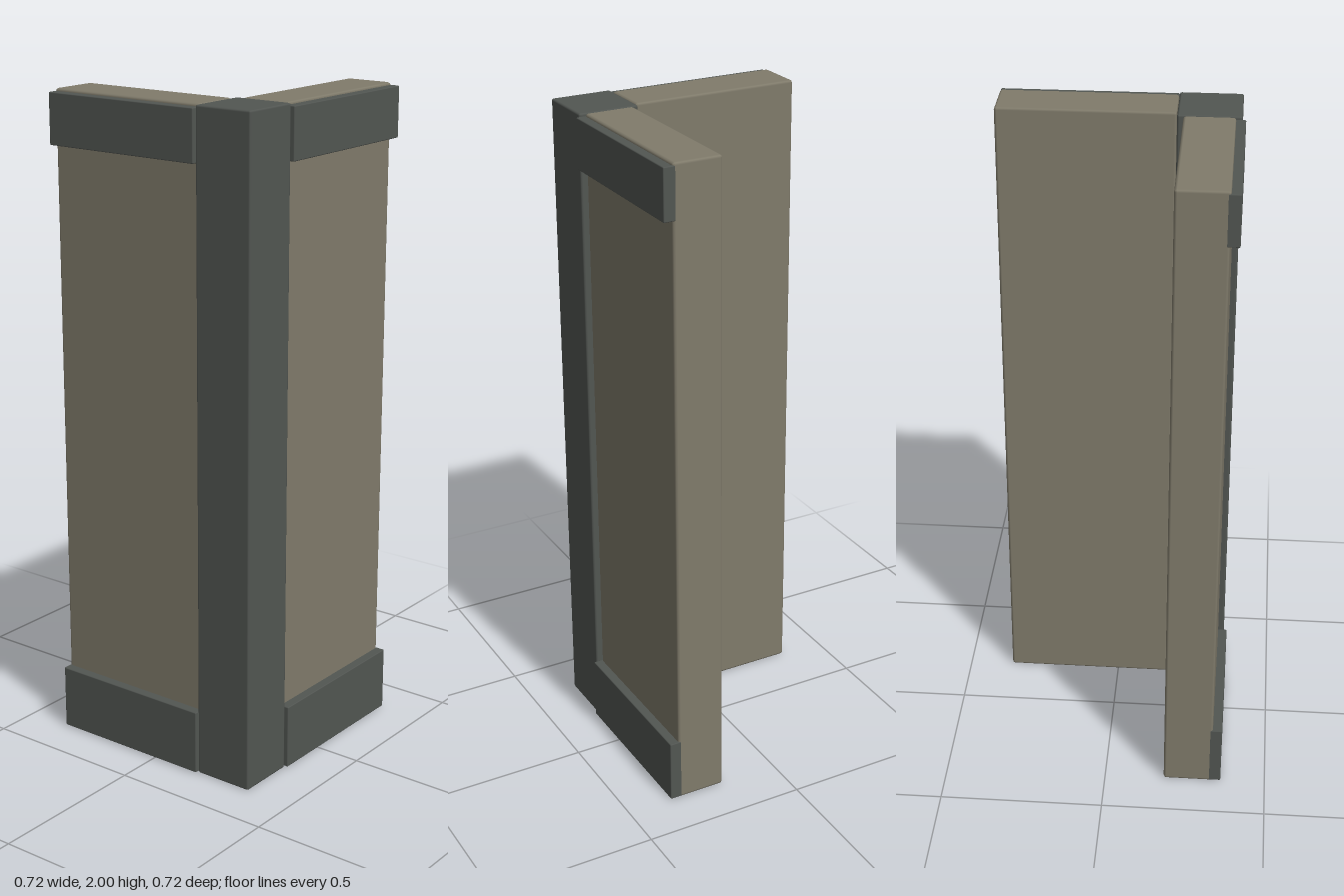
import * as THREE from 'three';
import { RoundedBoxGeometry } from 'three/addons/geometries/RoundedBoxGeometry.js';

export function createModel() {
  const model = new THREE.Group();
  model.name = 'cornerWall';

  const stone = new THREE.MeshStandardMaterial({ color: 0x807b6b });
  stone.name = 'warm grey stone';
  const darkTrim = new THREE.MeshStandardMaterial({ color: 0x525652 });
  darkTrim.name = 'dark grey trim';

  // Softly bevelled block given by its [min, max] extents
  function block(name, material, [x0, x1], [y0, y1], [z0, z1], bevel) {
    const geometry = new RoundedBoxGeometry(x1 - x0, y1 - y0, z1 - z0, 1, bevel);
    const mesh = new THREE.Mesh(geometry, material);
    mesh.name = name;
    mesh.position.set((x0 + x1) / 2, (y0 + y1) / 2, (z0 + z1) / 2);
    model.add(mesh);
  }

  // Square post at the outer corner
  block('cornerPost', darkTrim, [-0.352, -0.166], [0, 2], [0.164, 0.35], 0.006);

  // Two wall panels meeting at the post
  block('frontPanel', stone, [-0.165, 0.36], [0, 2], [0.182, 0.332], 0.008);
  block('sidePanel', stone, [-0.334, -0.184], [0, 2], [-0.36, 0.163], 0.008);

  // Skirting and top rails on the outer faces
  const rails = [['bottomRail', [0.003, 0.2]], ['topRail', [1.84, 1.992]]];
  for (const [name, height] of rails) {
    block('front_' + name, darkTrim, [-0.165, 0.36], height, [0.322, 0.36], 0.003);
    block('side_' + name, darkTrim, [-0.362, -0.324], height, [-0.36, 0.163], 0.003);
  }

  return model;
}
